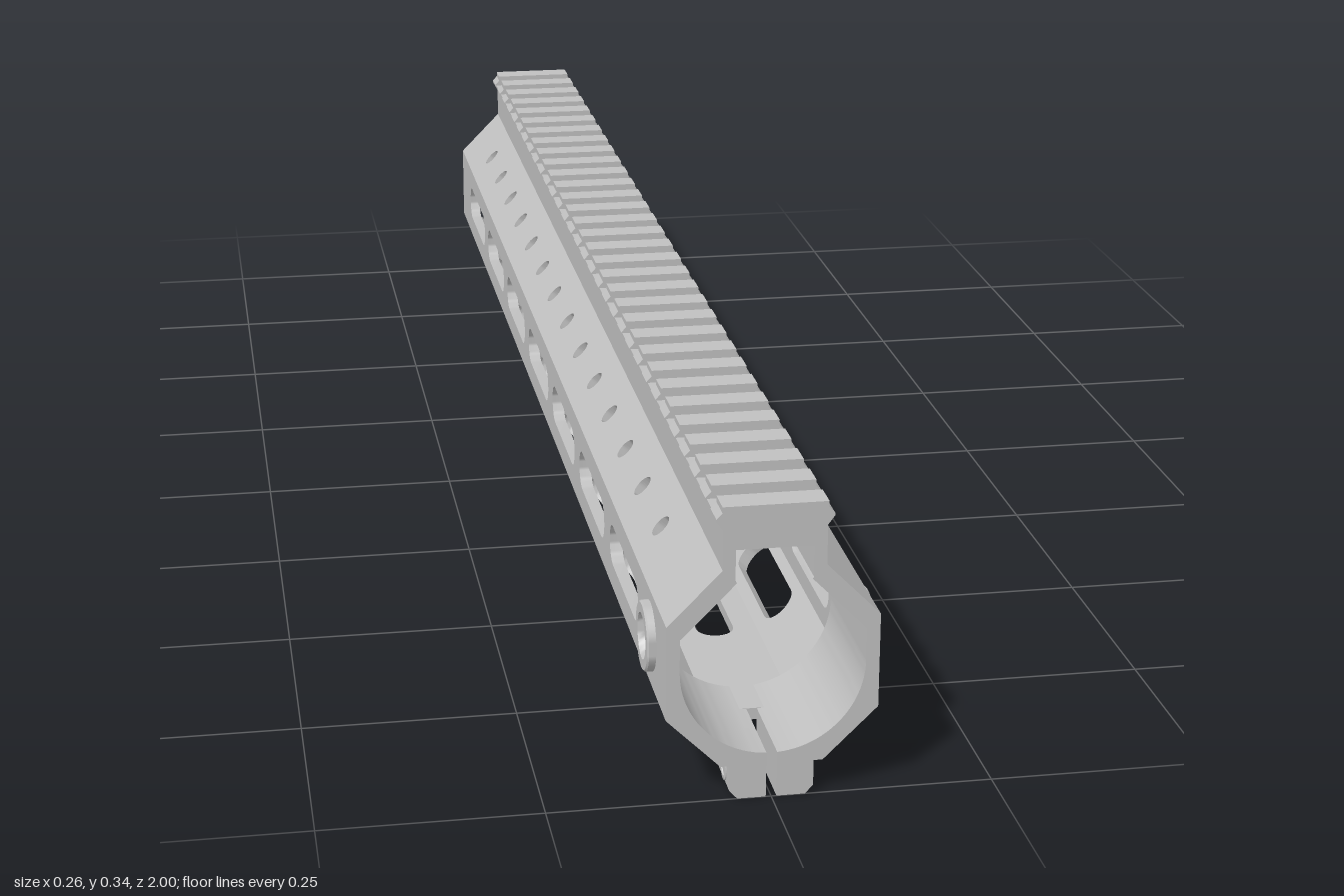
import * as THREE from 'three';
import { toCreasedNormals } from 'three/addons/utils/BufferGeometryUtils.js';

const metal = new THREE.MeshStandardMaterial({ color: 0xc0c0c0 });
metal.name = 'plain grey metal';

function add(group, geometry, name) {
  const mesh = new THREE.Mesh(toCreasedNormals(geometry, 0.6), metal);
  mesh.name = name;
  group.add(mesh);
  return mesh;
}

// Cross-section in x and y, extruded from z0 to z1
function section(shape, z0, z1) {
  const g = new THREE.ExtrudeGeometry(shape, { depth: z1 - z0, bevelEnabled: false, curveSegments: 32 });
  return g.translate(0, 0, z0);
}
const polygon = (pts) => new THREE.Shape(pts.map(([x, y]) => new THREE.Vector2(x, y)));

// Mirror one half of a profile to make it symmetrical about x = 0
const mirrored = (half) => polygon([...half, ...half.map(([x, y]) => [-x, y]).reverse()]);

// Hole with rounded ends, running along z
function slot(z, y, length, width) {
  const r = width / 2, h = Math.max(length / 2 - r, 0);
  const p = new THREE.Path();
  p.absarc(z + h, y, r, -Math.PI / 2, Math.PI / 2, false);
  p.absarc(z - h, y, r, Math.PI / 2, Math.PI * 1.5, false);
  p.closePath();
  return p;
}

// Flat wall between two outer profile points, thickened inward
function wall(a, b, thickness, z0, z1, holes) {
  const dx = b[0] - a[0], dy = b[1] - a[1], len = Math.hypot(dx, dy);
  const shape = polygon([[z0, 0], [z1, 0], [z1, len], [z0, len]]);
  shape.holes = holes.map(([z, l, w]) => slot(z, len / 2, l, w));
  const g = new THREE.ExtrudeGeometry(shape, { depth: thickness, bevelEnabled: false, curveSegments: 10 });
  const m = new THREE.Matrix4().makeBasis(
    new THREE.Vector3(0, 0, 1),
    new THREE.Vector3(dx / len, dy / len, 0),
    new THREE.Vector3(-dy / len, dx / len, 0));
  m.setPosition(a[0], a[1], 0);
  return g.applyMatrix4(m);
}

// Round boss with a recessed centre, its axis pointing to +x or -x
function boss(radius, height, recess, side) {
  const pts = [[1, 0], [1, height * 0.8], [0.95, height], [0.66, height], [0.6, recess], [0, recess]]
    .map(([r, h]) => new THREE.Vector2(r * radius, h));
  return new THREE.LatheGeometry(pts, 32).rotateZ(-side * Math.PI / 2);
}

export function createModel() {
  const model = new THREE.Group();
  model.name = 'railed tube';

  // Rows of openings: [centre z, length, width]
  const row = (n, first, step, l, w) => Array.from({ length: n }, (_, i) => [first - i * step, l, w]);
  const sideSlots = row(7, 0.715, 0.25, 0.207, 0.05);
  const lowerSlots = row(6, 0.59, 0.25, 0.2, 0.045);
  const roundHoles = row(14, 0.79, 0.125, 0.027, 0.027);

  // Octagonal body walls, counterclockwise
  const p = [[0.057, 0.04], [0.118, 0.1], [0.118, 0.21], [0.057, 0.272]];
  const q = p.map(([x, y]) => [-x, y]);
  const walls = [
    ['leftLowerWall', p[0], p[1], 0.015, 1, lowerSlots],
    ['leftSideWall', p[1], p[2], 0.015, 1, sideSlots],
    ['leftUpperWall', p[2], p[3], 0.022, 1, roundHoles],
    ['rightUpperWall', q[3], q[2], 0.022, 1, roundHoles],
    ['rightSideWall', q[2], q[1], 0.015, 1, sideSlots],
    ['rightLowerWall', q[1], q[0], 0.015, 1, lowerSlots],
    ['bottomWall', q[0], p[0], 0.014, 0.89, lowerSlots],
  ];
  for (const [name, a, b, t, z1, holes] of walls) add(model, wall(a, b, t, -1, z1, holes), name);

  // Hollow channel carrying the rail
  const channel = polygon([
    [0.043, 0.255], [0.057, 0.268], [0.057, 0.318], [0.063, 0.326], [0.063, 0.33],
    [-0.063, 0.33], [-0.063, 0.326], [-0.057, 0.318], [-0.057, 0.268], [-0.043, 0.255],
    [-0.043, 0.295], [0.043, 0.295]]);
  add(model, section(channel, -1, 1), 'railChannel');

  // Cross teeth along the rail
  const teeth = new THREE.Group();
  teeth.name = 'railTeeth';
  const tooth = mirrored([[0.057, 0.319], [0.0645, 0.328], [0.0645, 0.331], [0.058, 0.338], [0.058, 0.345]]);
  const count = 32, width = 0.034;
  for (let i = 0; i < count; i++) {
    const z = -1 + i * (2 - width) / (count - 1);
    add(teeth, section(tooth, z, z + width), 'railTooth');
  }
  model.add(teeth);

  for (const side of [1, -1]) {
    const label = side > 0 ? 'left' : 'right';

    // Round-bored front collar, split at the bottom
    const collar = new THREE.Shape();
    const cy = 0.156, r = 0.103, gap = 0.006, start = Math.asin(gap / r);
    collar.moveTo(side * gap, 0.04);
    collar.lineTo(side * 0.057, 0.04);
    collar.lineTo(side * 0.117, 0.1);
    collar.lineTo(side * 0.117, cy);
    collar.lineTo(side * r, cy);
    for (let i = 1; i <= 24; i++) {
      const a = Math.PI / 2 + (start - Math.PI / 2) * i / 24;
      collar.lineTo(side * r * Math.sin(a), cy - r * Math.cos(a));
    }
    add(model, section(collar, 0.83, 1), label + 'Collar');

    // Clamp lug under the collar
    const lug = polygon([[gap, 0.045], [gap, 0], [0.038, 0], [0.047, 0.01], [0.047, 0.045]]
      .map(([x, y]) => [side * x, y]));
    add(model, section(lug, 0.89, 1), label + 'ClampLug');

    // Clamp screws
    for (const z of [0.92, 0.972]) {
      add(model, boss(0.014, 0.002, 0.0005, side), label + 'ClampScrew')
        .position.set(side * 0.047, 0.025, z);
    }

    // Sling socket on the side wall
    add(model, boss(0.04, 0.01, 0.002, side), label + 'SideSocket')
      .position.set(side * 0.118, 0.157, 0.9);
  }

  return model;
}
